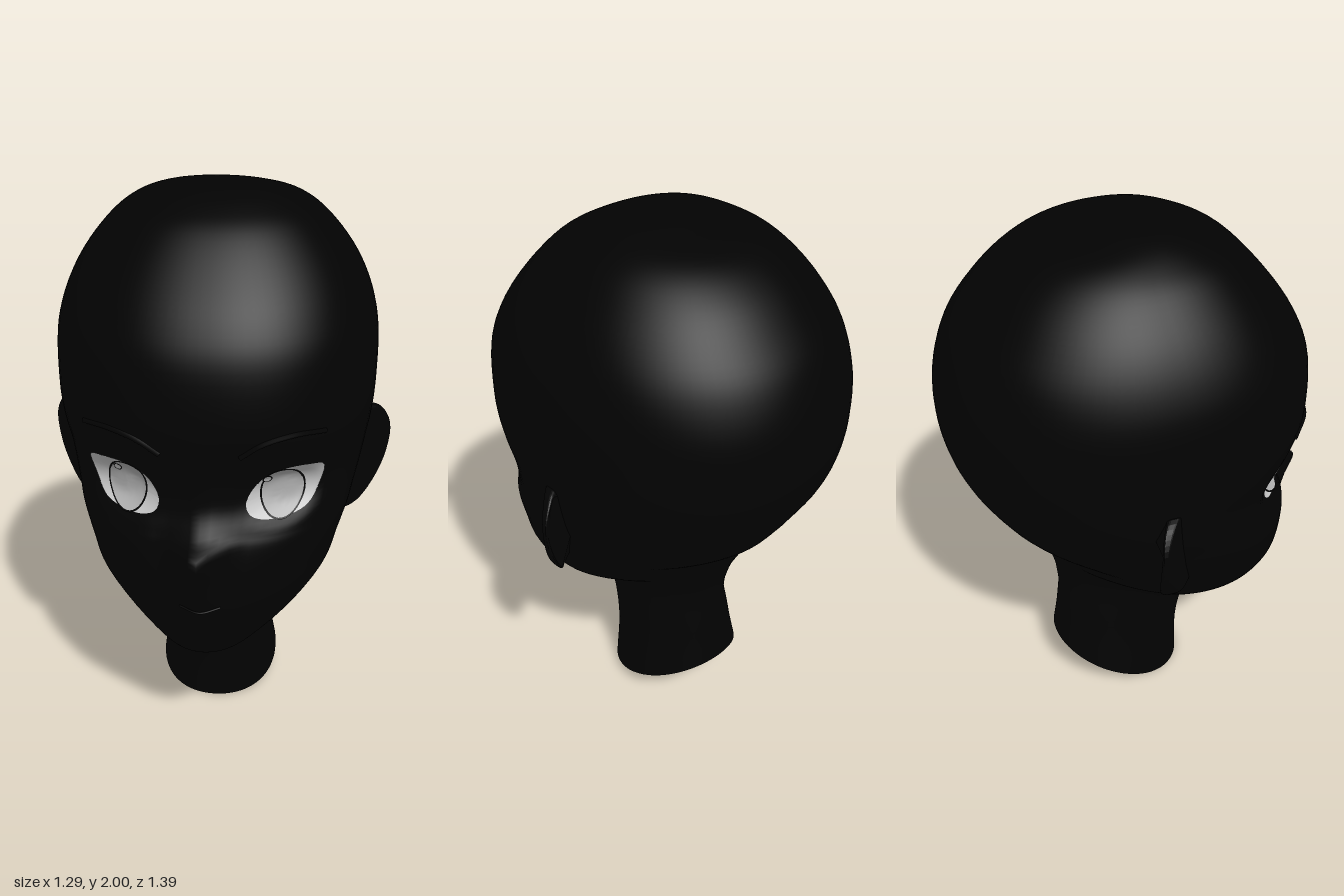
import * as THREE from 'three';

const { smoothstep } = THREE.MathUtils;
const double = color => new THREE.MeshStandardMaterial({ color, side: THREE.DoubleSide });
const black = double(0x020202);
const grey = double(0xcccccc);
const irisGrey = double(0xb4b4b4);
const innerGrey = double(0x8a837c);

// Tilted rings, neck to crown: front y, front z, back y, back z, half width, nose ridge
const RINGS = [
  [0, .19, .2, -.33, .23, 0],
  [.2, .192, .31, -.315, .2, 0],
  [.37, .235, .43, -.305, .182, 0],
  [.43, .3, .48, -.305, .182, 0],
  [.445, .4, .53, -.31, .19, 0],
  [.43, .505, .58, -.317, .205, 0],
  [.445, .545, .66, -.34, .25, 0],
  [.53, .56, .73, -.375, .357, .01],
  [.65, .585, .8, -.415, .435, .035],
  [.755, .59, .87, -.485, .467, .065],
  [.865, .58, .94, -.535, .5, .115],
  [.92, .56, .98, -.56, .513, .05],
  [1, .53, 1.03, -.59, .532, .03],
  [1.1, .538, 1.1, -.63, .55, .027],
  [1.2, .59, 1.2, -.67, .565, .01],
  [1.31, .62, 1.33, -.695, .573, 0],
  [1.5, .61, 1.49, -.69, .57, 0],
  [1.63, .56, 1.65, -.64, .537, 0],
  [1.76, .468, 1.77, -.555, .473, 0],
  [1.88, .355, 1.87, -.455, .38, 0],
  [1.94, .255, 1.94, -.335, .295, 0],
  [1.98, .15, 1.98, -.165, .195, 0],
  [1.996, .07, 1.996, -.07, .09, 0],
  [2, 0, 2, 0, 0, 0],
];

// Head and neck as one smooth loft, open under the neck
function headGeometry() {
  const spline = (a, b, c) => new THREE.CatmullRomCurve3(
    RINGS.map(r => new THREE.Vector3(r[a], r[b], r[c])), false, 'catmullrom', 0.5);
  const front = spline(0, 1, 4), back = spline(2, 3, 5);
  const rows = (RINGS.length - 1) * 5, seg = 96, pos = [], idx = [];
  for (let j = 0; j <= rows; j++) {
    const f = front.getPoint(j / rows), b = back.getPoint(j / rows);
    // The face is fuller than an ellipse; behind the jaw the rings narrow to the nape
    const face = 2 + 0.25 * smoothstep(f.x, 0.5, 0.85);
    const nape = 2.1 - 0.5 * Math.exp(-(((f.x - 0.6) / 0.2) ** 2));
    for (let i = 0; i < seg; i++) {
      const a = i / seg * Math.PI * 2, isFront = Math.cos(a) > 0;
      const n = isFront ? face : nape;
      const s = Math.max(0, 1 - Math.abs(Math.sin(a)) ** n) ** (1 / n) * (isFront ? 1 : -1);
      const x = f.z * Math.sin(a), t = (1 - s) / 2, y = f.x + (b.x - f.x) * t ** 1.6;
      let z = f.y + (b.y - f.y) * t;
      if (isFront) {
        // Nose ridge and eye sockets
        z += Math.max(0, b.z) * Math.max(0, 1 - Math.abs(x) / 0.13) ** 1.3;
        const d = Math.hypot((Math.abs(x) - 0.275) / 0.15, (y - 1.05) / 0.12);
        z -= 0.045 * (1 - smoothstep(d, 0.3, 1.1));
      }
      pos.push(x, y, z);
      if (j < rows) {
        const p = j * seg + i, q = j * seg + (i + 1) % seg;
        idx.push(p, q, q + seg, p, q + seg, p + seg);
      }
    }
  }
  const g = new THREE.BufferGeometry();
  g.setAttribute('position', new THREE.Float32BufferAttribute(pos, 3));
  g.setIndex(idx);
  g.computeVertexNormals();
  return g;
}

// Same surface moved inwards along its normals
function inset(geometry, amount) {
  const g = geometry.clone(), p = g.attributes.position, n = g.attributes.normal;
  for (let i = 0; i < p.count; i++) {
    p.setXYZ(i, p.getX(i) - n.getX(i) * amount, p.getY(i) - n.getY(i) * amount,
      p.getZ(i) - n.getZ(i) * amount);
  }
  return g;
}

// Ear: flap that sweeps outwards and back, thinning towards its rim, top and bottom
function earGeometry(side) {
  const corners = [[.42, 1.12], [.5, 1.16], [.565, 1.17], [.61, 1.135], [.635, 1.065], [.618, .955],
    [.575, .865], [.525, .81], [.47, .8], [.42, .85]]
    .map(p => new THREE.Vector2(p[0] * side, p[1]));
  const shape = new THREE.Shape(new THREE.SplineCurve([...corners, corners[0]]).getPoints(40));
  const g = new THREE.ExtrudeGeometry(shape, {
    depth: 0.02, bevelEnabled: true, bevelSize: 0.008, bevelThickness: 0.012, bevelSegments: 3 });
  const p = g.attributes.position;
  for (let i = 0; i < p.count; i++) {
    const x = Math.abs(p.getX(i)), u = (p.getZ(i) + 0.012) / 0.044;
    const taper = Math.sqrt(Math.max(0.1, 1 - ((p.getY(i) - 1) / 0.21) ** 2));
    const thickness = (0.02 + (0.645 - x) * 0.8) * taper;
    p.setZ(i, 0.035 - (x - 0.5) * 0.85 - thickness * (1 - u));
  }
  g.computeVertexNormals();
  return g;
}

export function createModel() {
  const group = new THREE.Group();
  const add = (name, geometry, material) => {
    const m = new THREE.Mesh(geometry, material);
    m.name = name;
    group.add(m);
    return m;
  };

  const shell = headGeometry();
  const head = add('head', shell, black);
  add('headInterior', inset(shell, 0.008), innerGrey);

  // Point on the face at (x, y), lifted a little
  const ray = new THREE.Raycaster();
  const onFace = (x, y, lift) => {
    ray.set(new THREE.Vector3(x, y, 3), new THREE.Vector3(0, 0, -1));
    const v = ray.intersectObject(head)[0].point;
    v.z += lift;
    return v;
  };

  // Filled outline wrapped onto the face
  const patch = (outline, cx, cy, side, lift) => {
    const n = 36, g = new THREE.RingGeometry(0, 1, n, 8), p = g.attributes.position;
    for (let k = 0; k < p.count; k++) {
      const t = (k % (n + 1)) / n, r = Math.floor(k / (n + 1)) / 8;
      const o = outline(side > 0 ? t : 1 - t);
      const v = onFace((cx + (o.x - cx) * r) * side, cy + (o.y - cy) * r, lift);
      p.setXYZ(k, v.x, v.y, v.z);
    }
    g.computeVertexNormals();
    return g;
  };
  const oval = (cx, cy, rx, ry) => t => ({
    x: cx + rx * Math.cos(t * Math.PI * 2), y: cy + ry * Math.sin(t * Math.PI * 2) });

  // Thin line drawn along the face
  const line = (points, radius) => new THREE.TubeGeometry(new THREE.CatmullRomCurve3(
    points.map(([x, y]) => onFace(x, y, 0.002))), 24, radius, 6);

  const eyeCurve = new THREE.CatmullRomCurve3([[.147, 1.02], [.158, .98], [.2, .96], [.28, .957],
    [.35, .98], [.388, 1.05], [.398, 1.13], [.34, 1.146], [.27, 1.138], [.19, 1.09]]
    .map(([x, y]) => new THREE.Vector3(x, y, 0)), true);

  for (const [side, label] of [[1, 'left'], [-1, 'right']]) {
    add(label + 'Ear', earGeometry(side), black);
    add(label + 'EyeWhite', patch(t => eyeCurve.getPoint(t), .275, 1.05, side, .004), grey);
    add(label + 'IrisRim', patch(oval(.265, 1.045, .075, .095), .265, 1.045, side, .007), black);
    add(label + 'Iris', patch(oval(.265, 1.045, .069, .089), .265, 1.045, side, .01), irisGrey);
    // Highlights sit on the same side of both eyes
    const hx = side > 0 ? .215 : .298;
    add(label + 'HighlightRim', patch(oval(hx, 1.1, .016, .016), hx, 1.1, side, .012), black);
    add(label + 'Highlight', patch(oval(hx, 1.1, .012, .012), hx, 1.1, side, .014), grey);
    add(label + 'Brow', line([[.13, 1.215], [.2, 1.262], [.3, 1.285], [.4, 1.275]]
      .map(([x, y]) => [x * side, y]), 0.009), black);
  }
  add('mouth', line([[-.07, .66], [0, .65], [.07, .66]], 0.004), black);
  return group;
}
